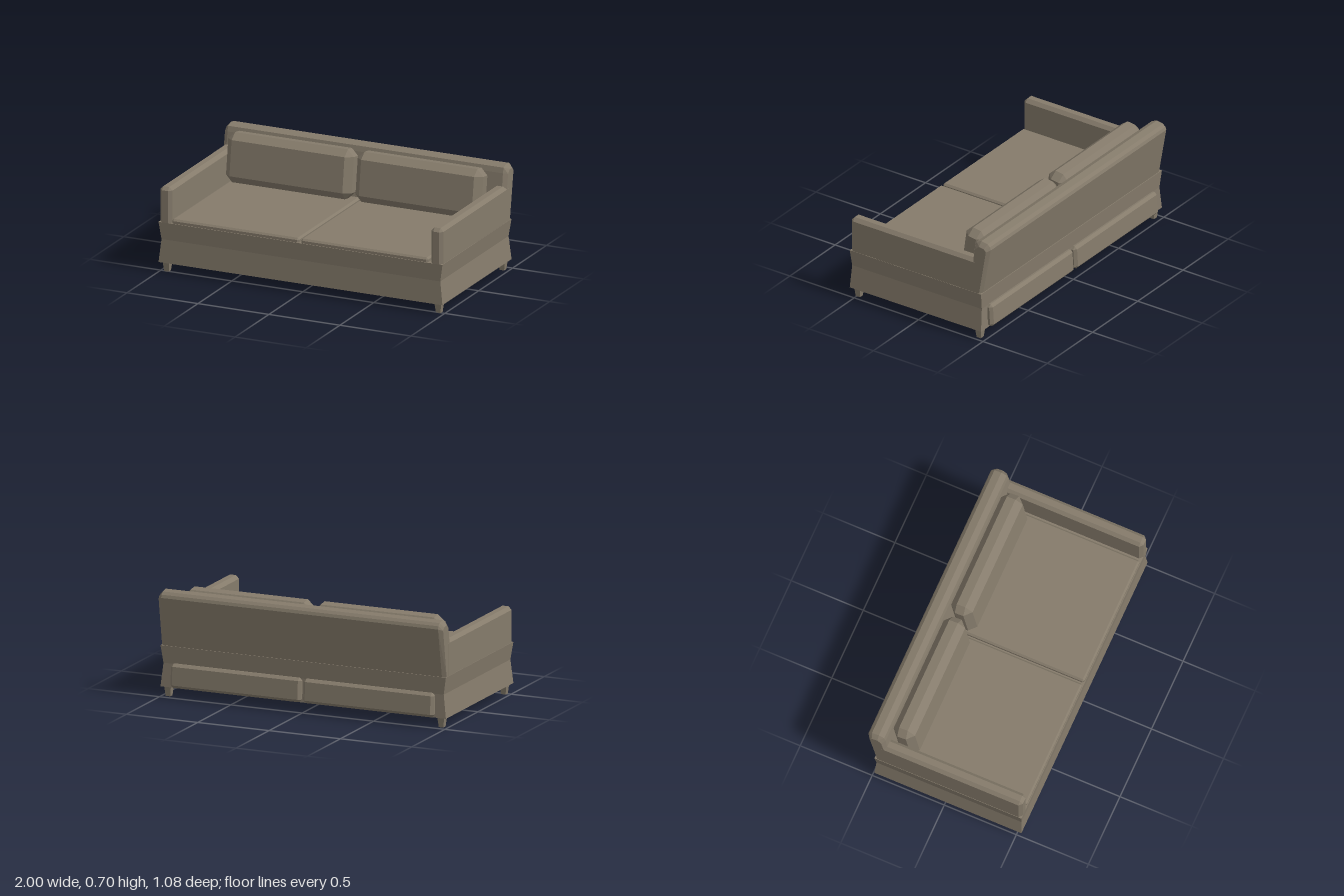
import * as THREE from 'three';
import { ConvexGeometry } from 'three/addons/geometries/ConvexGeometry.js';

const fabric = new THREE.MeshStandardMaterial({ color: 0x857b6b, flatShading: true });

function add(parent, name, geometry, x = 0, y = 0, z = 0) {
  const mesh = new THREE.Mesh(geometry, fabric);
  mesh.name = name;
  mesh.position.set(x, y, z);
  parent.add(mesh);
  return mesh;
}

// Box with bevelled edges; bottom is the height of the lower bevel (0 leaves it square)
function bevelBox(w, h, d, c, bottom = c) {
  const points = [];
  for (const sx of [-1, 1]) for (const sy of [-1, 1]) for (const sz of [-1, 1]) {
    const drop = sy > 0 ? c : bottom;
    const x = w / 2, y = h / 2, z = d / 2;
    points.push(
      new THREE.Vector3(sx * x, sy * (y - drop), sz * (z - c)),
      new THREE.Vector3(sx * (x - c), sy * (y - drop), sz * z));
    if (drop > 0) points.push(new THREE.Vector3(sx * (x - c), sy * y, sz * (z - c)));
  }
  return new ConvexGeometry(points);
}

// Base with a slight waist running round it
function baseGeometry() {
  const geometry = new THREE.BoxGeometry(2, 0.27, 1.02, 1, 2, 1);
  const p = geometry.attributes.position;
  for (let i = 0; i < p.count; i++) {
    if (Math.abs(p.getY(i)) > 0.1) continue;
    p.setXYZ(i, p.getX(i) * 0.982, 0.02, p.getZ(i) * 0.987);
  }
  geometry.computeVertexNormals();
  return geometry;
}

// Leaning backrest: side profile as [z, y], with smaller sections at both ends
function backrestGeometry() {
  const full = [[-0.48, 0.335], [-0.54, 0.66], [-0.533, 0.68], [-0.515, 0.697],
    [-0.467, 0.705], [-0.43, 0.69], [-0.42, 0.655], [-0.37, 0.335]];
  const end = [[-0.467, 0.335], [-0.52, 0.65], [-0.505, 0.668], [-0.467, 0.675],
    [-0.44, 0.65], [-0.385, 0.335]];
  const points = [];
  for (const s of [-1, 1]) {
    full.forEach(([z, y]) => points.push(new THREE.Vector3(s * 0.97, y, z)));
    end.forEach(([z, y]) => points.push(new THREE.Vector3(s * 0.997, y, z)));
  }
  return new ConvexGeometry(points);
}

export function createModel() {
  const sofa = new THREE.Group();
  sofa.name = 'sofa';

  add(sofa, 'base', baseGeometry(), 0, 0.2, 0.025);
  add(sofa, 'backrest', backrestGeometry());

  // Arms
  for (const s of [-1, 1]) {
    add(sofa, s > 0 ? 'leftArm' : 'rightArm', bevelBox(0.085, 0.237, 1, 0.022, 0), s * 0.955, 0.453, 0.035);
  }

  // Seat cushions, back cushions and rear drawers in pairs
  for (const s of [-1, 1]) {
    const side = s > 0 ? 'left' : 'right';
    add(sofa, side + 'SeatCushion', bevelBox(0.895, 0.04, 0.92, 0.012, 0), -0.008 + s * 0.455, 0.344, 0.07);

    const pillow = add(sofa, side + 'BackCushion', bevelBox(0.885, 0.325, 0.15, 0.045), -0.012 + s * 0.456, 0.533, -0.32);
    pillow.rotation.x = -0.14;

    const drawer = add(sofa, side + 'RearDrawer', bevelBox(0.915, 0.157, 0.06, 0.018), s * 0.465, 0.146, -0.485);
    drawer.rotation.x = 0.07;
  }

  // Tapered square legs
  const leg = new THREE.CylinderGeometry(0.035, 0.023, 0.075, 4).rotateY(Math.PI / 4);
  for (const x of [-0.957, 0.957]) for (const z of [-0.448, 0.491]) {
    add(sofa, 'leg', leg, x, 0.0375, z);
  }
  return sofa;
}
